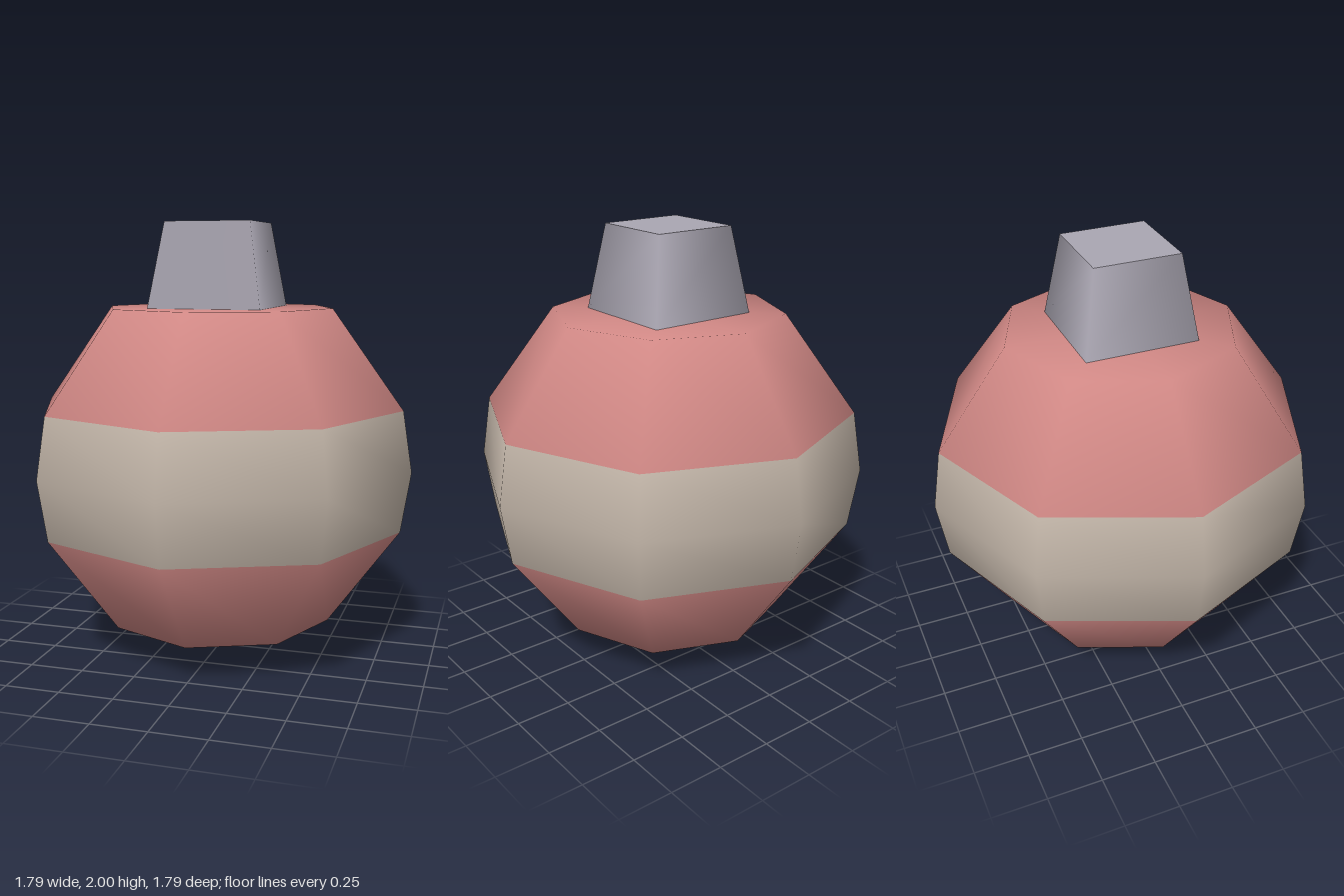
import * as THREE from 'three';

const R = 0.895;
const STEP = Math.PI / 5;
const SHOULDER = R + R * Math.cos(STEP);

function material(name, color) {
  const m = new THREE.MeshStandardMaterial({ color });
  m.name = name;
  return m;
}

// Part of an eight-sided, five-ring ball, flattened above the shoulder
function ballZone(name, firstRing, rings, mat) {
  const geo = new THREE.SphereGeometry(R, 8, rings, 0, Math.PI * 2, firstRing * STEP, rings * STEP);
  geo.translate(0, R, 0);
  const pos = geo.attributes.position;
  for (let i = 0; i < pos.count; i++) pos.setY(i, Math.min(pos.getY(i), SHOULDER));
  const mesh = new THREE.Mesh(geo, mat);
  mesh.name = name;
  return mesh;
}

export function createModel() {
  const group = new THREE.Group();
  group.name = 'ornament';
  const red = material('dustyRed', 0xcf8784);
  const cream = material('cream', 0xc2b5a8);
  const grey = material('capGrey', 0xaaa6b2);

  // Ball: flat-topped upper zone, straight belt, pointed lower zone
  group.add(ballZone('upperBall', 0, 2, red));
  group.add(ballZone('belt', 2, 1, cream));
  group.add(ballZone('lowerBall', 3, 2, red));

  // Square tapered cap with softly shaded sides
  const height = 2 - SHOULDER;
  const capGeo = new THREE.CylinderGeometry(0.195 * Math.SQRT2, 0.257 * Math.SQRT2, height, 4);
  capGeo.rotateY(Math.PI / 4);
  const cap = new THREE.Mesh(capGeo, grey);
  cap.name = 'cap';
  cap.position.y = SHOULDER + height / 2;
  group.add(cap);

  return group;
}
